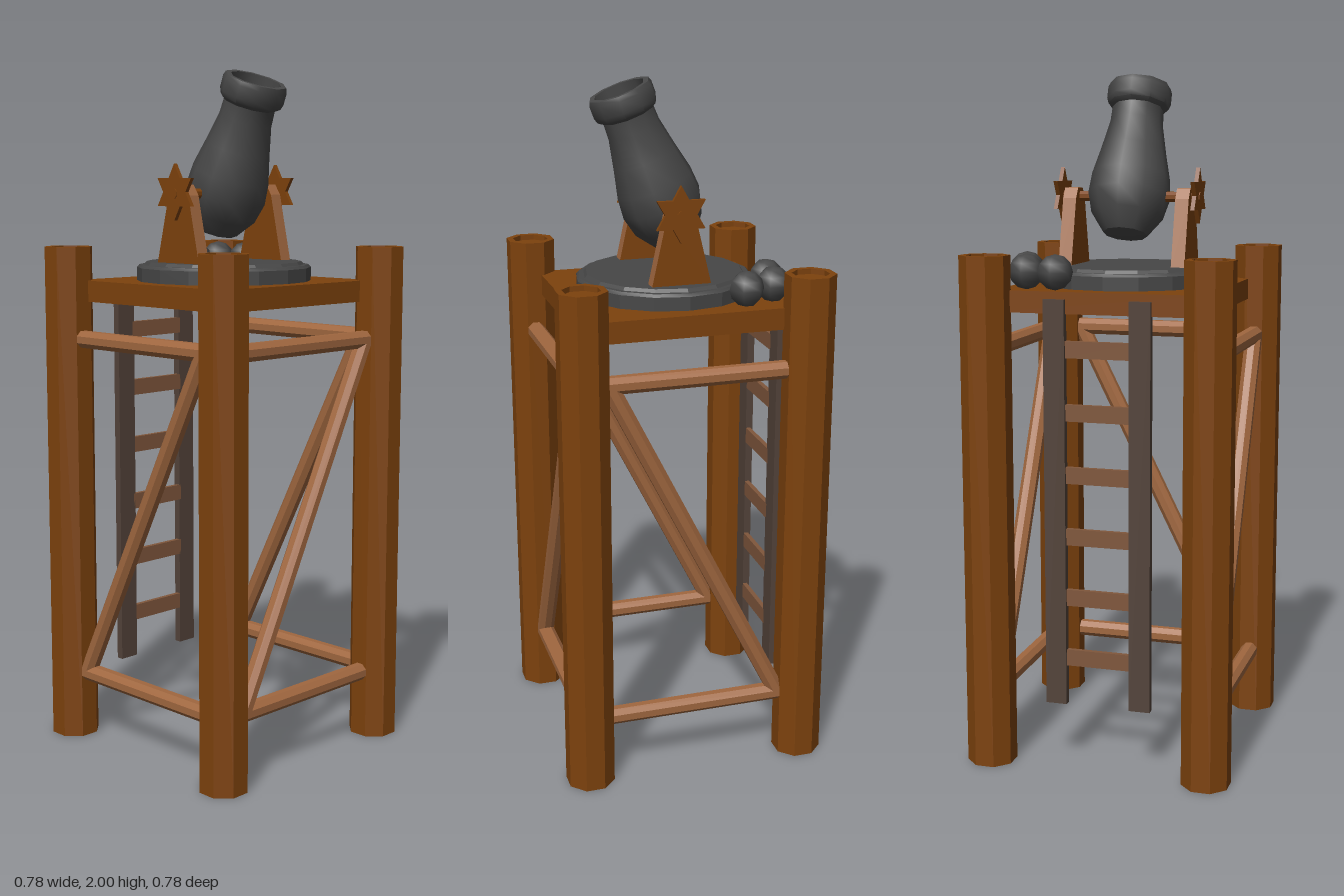
import * as THREE from 'three';
import { toCreasedNormals } from 'three/addons/utils/BufferGeometryUtils.js';

export function createModel() {
  const model = new THREE.Group();
  const mat = (name, color) => {
    const m = new THREE.MeshStandardMaterial({ color });
    m.name = name;
    return m;
  };
  const wood = mat('dark wood', 0x7d420d);
  const lightWood = mat('light wood', 0xa0673f);
  const railWood = mat('grey wood', 0x53433a);
  const rungWood = mat('rung wood', 0x80573c);
  const iron = mat('iron', 0x474747);

  const add = (name, geo, material, x = 0, y = 0, z = 0, parent = model) => {
    const mesh = new THREE.Mesh(geo, material);
    mesh.name = name;
    mesh.position.set(x, y, z);
    parent.add(mesh);
    return mesh;
  };
  const lathe = (pts, sides, phi = 0, crease = 0.3) => toCreasedNormals(
    new THREE.LatheGeometry(pts.map(p => new THREE.Vector2(...p)), sides, phi), crease);

  // Octagonal posts with shallow hollows at both ends
  const R = 0.0725, r = 0.053, H = 1.49;
  const post = lathe([[0, 0.02], [r, 0.02], [r, 0], [R, 0], [R, H], [r, H], [r, H - 0.015], [0, H - 0.015]],
    8, Math.PI / 8);
  for (const x of [-0.325, 0.325]) for (const z of [-0.325, 0.325]) add('post', post, wood, x, 0, z);

  // Deck
  add('deck', new THREE.BoxGeometry(0.614, 0.062, 0.614), wood, 0, 1.36, 0);

  // Octagonal braces on the front and both sides
  const beam = (name, a, b) => {
    const from = new THREE.Vector3(...a), to = new THREE.Vector3(...b);
    const dir = to.clone().sub(from);
    const geo = toCreasedNormals(
      new THREE.CylinderGeometry(0.0265, 0.0265, dir.length(), 8).rotateY(Math.PI / 8), 0.3);
    const mesh = add(name, geo, lightWood);
    mesh.position.copy(from).add(to).multiplyScalar(0.5);
    mesh.quaternion.setFromUnitVectors(new THREE.Vector3(0, 1, 0), dir.normalize());
  };
  const P = 0.328, E = 0.28, low = 0.202, high = 1.22;
  for (const y of [low, high]) {
    beam('frontRail', [-E, y, P], [E, y, P]);
    for (const x of [-P, P]) beam('sideRail', [x, y, -E], [x, y, E]);
  }
  beam('frontDiagonal', [-0.255, low, P], [0.255, high, P]);
  for (const x of [-P, P]) beam('sideDiagonal', [x, low, -0.255], [x, high, 0.255]);

  // Ladder on the back
  const ladder = new THREE.Group();
  ladder.name = 'ladder';
  model.add(ladder);
  const rail = new THREE.BoxGeometry(0.062, 1.18, 0.022);
  for (const x of [-0.125, 0.125]) add('ladderRail', rail, railWood, x, 0.78, -0.309, ladder);
  const rung = new THREE.BoxGeometry(0.2, 0.048, 0.014);
  for (let i = 0; i < 6; i++) add('rung', rung, rungWood, 0, 0.33 + i * 0.18, -0.305, ladder);

  // Round turntable with a slightly raised disc
  add('turntable', lathe([[0, 1.385], [0.257, 1.385], [0.257, 1.43], [0.25, 1.438], [0.236, 1.438],
    [0.229, 1.447], [0, 1.447]], 16), iron);

  // Mortar barrel, tilted towards the front
  const pivotY = 1.645, pivotZ = 0.007;
  const barrel = lathe([[0, -0.125], [0.065, -0.115], [0.105, -0.06], [0.12, 0], [0.115, 0.06], [0.096, 0.14],
    [0.078, 0.225], [0.076, 0.27], [0.09, 0.28], [0.095, 0.295], [0.095, 0.33], [0.09, 0.343],
    [0.075, 0.343], [0.066, 0.15], [0, 0.12]], 10, 0, 0.75);
  add('barrel', barrel, iron, 0, pivotY, pivotZ).rotation.x = 0.365;

  // Mounting brackets: dark cheeks with light edges
  const extrude = (points, depth) => new THREE.ExtrudeGeometry(
    new THREE.Shape(points.map(p => new THREE.Vector2(...p))), { depth, bevelEnabled: false })
    .translate(0, 0, -depth / 2).rotateY(-Math.PI / 2);
  const bracket = extrude([[-0.083, 1.44], [0.092, 1.44], [0.048, 1.64], [0.028, 1.67], [-0.014, 1.67],
    [-0.034, 1.64]], 0.04);

  // Six-pointed hand wheels
  const starPoints = Array.from({ length: 12 }, (_, i) => {
    const a = i * Math.PI / 6, rad = i % 2 ? 0.046 : 0.08;
    return [rad * Math.sin(-a), rad * Math.cos(a)];
  });
  const star = extrude(starPoints, 0.012);
  const axle = toCreasedNormals(
    new THREE.CylinderGeometry(0.0155, 0.0155, 0.12, 8).rotateY(Math.PI / 8).rotateZ(Math.PI / 2), 0.3);
  for (const s of [-1, 1]) {
    add('bracket', bracket, [wood, lightWood], s * 0.17);
    add('axle', axle, wood, s * 0.155, pivotY, 0.011);
    add('handWheel', star, wood, s * 0.206, 1.649, 0.013);
  }

  // Pile of cannonballs
  const ball = new THREE.SphereGeometry(0.051, 6, 6).rotateY(Math.PI / 6);
  for (const [x, z] of [[0.137, -0.264], [0.226, -0.253], [0.256, -0.164]]) {
    add('cannonball', ball, iron, x, 1.441, z);
  }

  return model;
}
